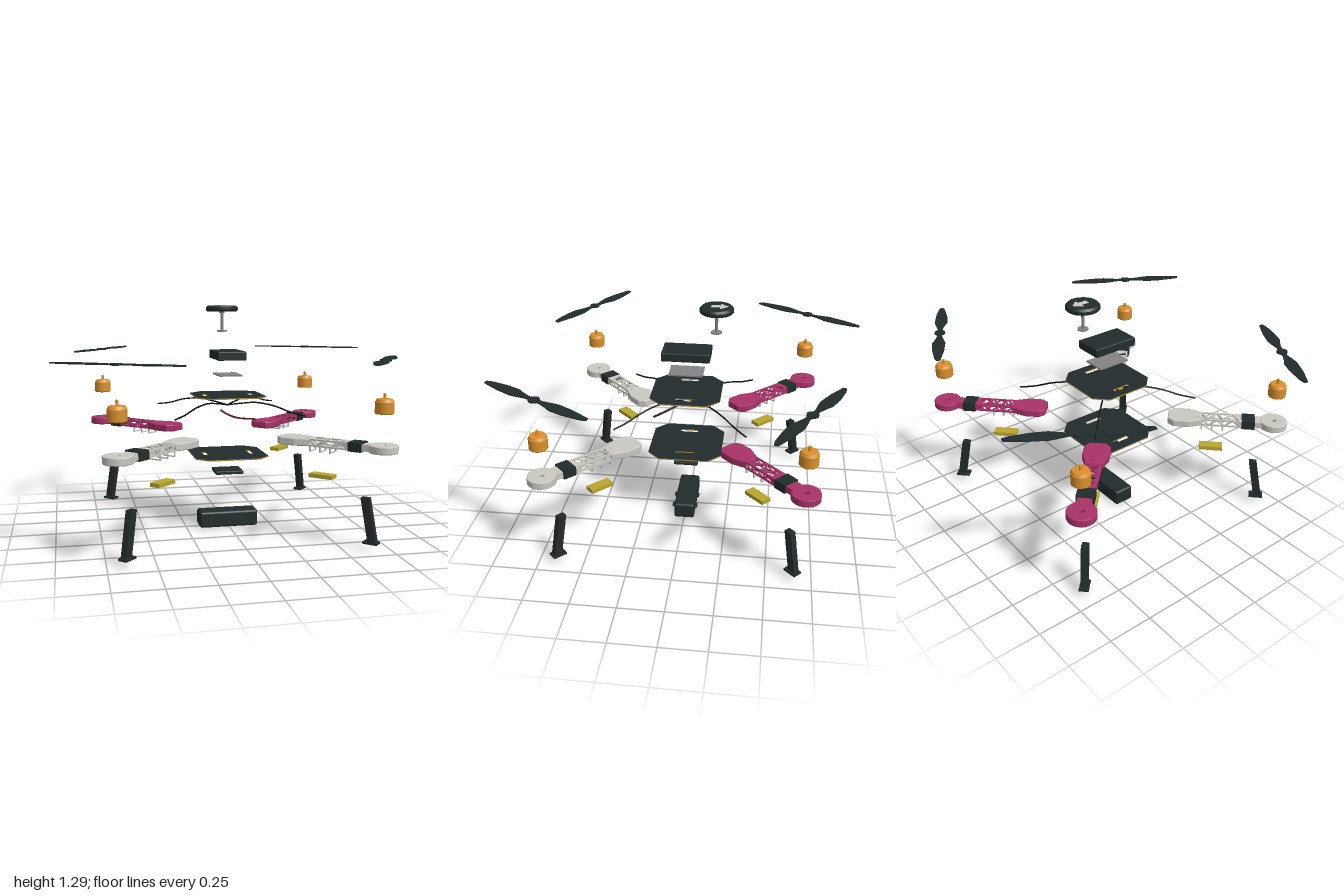
import * as THREE from 'three';
import { RoundedBoxGeometry } from 'three/addons/geometries/RoundedBoxGeometry.js';

const mat = (name, color, side = THREE.FrontSide) => {
  const m = new THREE.MeshStandardMaterial({ color, side });
  m.name = name;
  return m;
};

export function createModel() {
  const dark = mat('dark plastic', 0x222c2c);
  const light = mat('light grey plastic', 0xc9c8c1);
  const magenta = mat('magenta plastic', 0xa83268);
  const orange = mat('orange metal', 0xd98f2c);
  const yellow = mat('yellow', 0xb9a62e);
  const gold = mat('gold edge', 0xb08d45);
  const grey = mat('grey metal', 0x858386);
  const red = mat('dark red wire', 0x6a1c1c);
  const black = mat('black wire', 0x0e1212);

  const root = new THREE.Group();
  root.name = 'explodedQuadcopter';

  const add = (parent, name, geo, material, x = 0, y = 0, z = 0) => {
    const m = new THREE.Mesh(geo, material);
    m.name = name;
    m.position.set(x, y, z);
    parent.add(m);
    return m;
  };
  const box = (w, h, d) => new THREE.BoxGeometry(w, h, d);
  const poly = pts => new THREE.Shape(pts.map(p => new THREE.Vector2(p[0], p[1])));
  // Flat shape extruded upwards: shape y becomes -z
  const slab = (shape, h, bevel = 0) => {
    const g = new THREE.ExtrudeGeometry(shape, {
      depth: h - 2 * bevel, curveSegments: 20, bevelEnabled: bevel > 0,
      bevelSize: bevel, bevelThickness: bevel, bevelOffset: -bevel, bevelSegments: 2
    });
    g.translate(0, 0, bevel);
    return g.rotateX(-Math.PI / 2);
  };
  const lathe = (pts, n = 32) => new THREE.LatheGeometry(pts.map(p => new THREE.Vector2(p[0], p[1])), n);
  const wire = (pts, r) => new THREE.TubeGeometry(
    new THREE.CatmullRomCurve3(pts.map(p => new THREE.Vector3(...p))), 32, r, 6);
  const circleHole = (x, y, r) => new THREE.Path().absarc(x, y, r, 0, Math.PI * 2, true);

  // ---- Truss panel: strip with alternating triangular holes ----
  const trussShape = half => {
    const s = poly([[0.5, -half], [0.81, -half], [0.81, half], [0.5, half]]);
    const v = half - 0.009;
    for (let i = 0; i < 5; i++) {
      const c = 0.555 + i * 0.045, e = i % 2 ? v : -v;
      s.holes.push(poly([[c - 0.034, e], [c + 0.034, e], [c, -e]]));
    }
    return s;
  };

  // ---- Arm, running outwards along local x ----
  const buildArm = (parent, material) => {
    const arm = new THREE.Group();
    arm.name = 'arm';
    arm.position.y = 0.533;
    parent.add(arm);
    const H = 0.042;
    const pad = poly([[0.362, -0.045], [0.395, -0.074], [0.48, -0.074], [0.56, -0.044],
      [0.56, 0.044], [0.48, 0.074], [0.395, 0.074], [0.362, 0.045]]);
    pad.holes.push(poly([[0.53, -0.018], [0.53, 0.018], [0.558, 0]]));
    add(arm, 'armRoot', slab(pad, H, 0.006), material);
    const mount = new THREE.Shape().absarc(0.969, 0, 0.078, 0, Math.PI * 2, false);
    mount.holes.push(circleHole(0.969, 0, 0.014));
    add(arm, 'motorMount', slab(mount, H, 0.005), material);
    add(arm, 'armNeck', box(0.12, H - 0.006, 0.076), material, 0.85, H / 2, 0);
    const flat = slab(trussShape(0.042), 0.008);
    add(arm, 'trussTop', flat, material, 0, H - 0.008, 0);
    add(arm, 'trussBottom', flat, material);
    const side = new THREE.ExtrudeGeometry(trussShape(0.021), { depth: 0.008, bevelEnabled: false });
    for (const z of [-0.042, 0.034]) add(arm, 'trussSide', side, material, 0, H / 2, z);
    add(arm, 'armBand', box(0.075, 0.05, 0.094), dark, 0.825, H / 2, 0);
    // Cradle hoops under the arm
    for (const u of [0.56, 0.62, 0.68]) {
      for (const v of [-0.034, 0.034]) add(arm, 'cradleLeg', box(0.008, 0.04, 0.006), light, u, -0.008, v);
      add(arm, 'cradleBar', box(0.008, 0.006, 0.074), light, u, -0.027, 0);
    }
  };

  // ---- Leg: leaning hollow-looking column with a foot ----
  const buildLeg = parent => {
    const leg = new THREE.Group();
    leg.name = 'landingLeg';
    parent.add(leg);
    const g = box(0.045, 0.24, 0.036);
    const p = g.attributes.position;
    for (let i = 0; i < p.count; i++) p.setX(i, p.getX(i) - p.getY(i) * 0.19);
    g.computeVertexNormals();
    add(leg, 'legColumn', g, dark, 0.9, 0.163, 0);
    add(leg, 'legFoot', box(0.08, 0.012, 0.052), dark, 0.915, 0.041, 0);
    for (const v of [-0.019, 0.019]) {
      const rib = add(leg, 'legRib', box(0.012, 0.235, 0.006), dark, 0.9, 0.163, v);
      rib.rotation.z = 0.19;
    }
  };

  // ---- Motor ----
  const motorBody = lathe([[0, 0.738], [0.046, 0.738], [0.05, 0.742], [0.05, 0.742], [0.05, 0.8],
    [0.05, 0.8], [0.041, 0.816], [0.041, 0.816], [0.011, 0.818], [0.008, 0.818],
    [0.008, 0.843], [0.008, 0.843], [0, 0.847]]);

  // ---- Propeller blade outline, mirrored by half a turn ----
  const bladePts = [[0, -0.014], [0.05, -0.013], [0.1, -0.024], [0.14, -0.037], [0.22, -0.035],
    [0.325, -0.018], [0.357, -0.005], [0.352, 0.015], [0.24, 0.031], [0.14, 0.035], [0.1, 0.026], [0.05, 0.013], [0, 0.014]];
  const blade = slab(poly(bladePts), 0.006);
  const hub = new THREE.CylinderGeometry(0.03, 0.03, 0.01, 24);

  for (const sx of [-1, 1]) for (const sz of [-1, 1]) {
    const corner = new THREE.Group();
    corner.name = (sz > 0 ? 'front' : 'back') + (sx > 0 ? 'Left' : 'Right') + 'Corner';
    corner.rotation.y = -Math.atan2(sz, sx);
    root.add(corner);
    buildArm(corner, sz > 0 ? light : magenta);
    buildLeg(corner);
    add(corner, 'speedController', box(0.138, 0.022, 0.06), yellow, 0.621, 0.37, 0);
    add(corner, 'motor', motorBody, orange, 0.969, 0, 0);
    add(corner, 'antennaWire', wire([[0, 0.718, 0], [0.09, 0.733, 0], [0.2, 0.745, 0],
      [0.32, 0.732, 0], [0.42, 0.705, 0], [0.515, 0.69, 0]], 0.0045), black);

    const prop = new THREE.Group();
    prop.name = 'propeller';
    prop.position.set(sx * 0.685, 1.012, sz * 0.685);
    prop.rotation.y = sx * sz > 0 ? Math.PI / 3 : -Math.PI / 6;
    if (sx * sz < 0) prop.rotation.y = -Math.atan2(0.175, 0.31);
    root.add(prop);
    for (const a of [0, Math.PI]) add(prop, 'blade', blade, dark).rotation.y = a;
    add(prop, 'propellerHub', hub, dark, 0, 0.003, 0);
  }

  // ---- Frame plates: dark faces, gold cut edges ----
  const plate = (name, r, y) => {
    const c = r - 0.07;
    const s = poly([[-c, -r], [c, -r], [r, -c], [r, c], [c, r], [-c, r], [-r, c], [-r, -c]]);
    for (const x of [-0.135, 0.135]) {
      s.holes.push(poly([[x - 0.013, -0.052], [x + 0.013, -0.052], [x + 0.013, 0.052], [x - 0.013, 0.052]]));
    }
    add(root, name, slab(s, 0.007), [dark, gold], 0, y, 0);
  };
  plate('topPlate', 0.2, 0.772);
  plate('bottomPlate', 0.212, 0.427);

  // ---- Power lead ----
  const lead = [[-0.05, 0.692, 0.035], [-0.015, 0.67, 0.06], [0.03, 0.656, 0.11], [0.125, 0.655, 0.185]];
  add(root, 'powerLeadRed', wire(lead, 0.004), red);
  add(root, 'powerLeadBlack', wire(lead.map(p => [p[0] + 0.006, p[1], p[2] - 0.006]), 0.004), black);

  // ---- Stacked electronics ----
  add(root, 'powerModule', new RoundedBoxGeometry(0.162, 0.02, 0.142, 2, 0.005), dark, 0, 0.327, 0);
  add(root, 'mountingPad', box(0.134, 0.008, 0.195), grey, 0, 0.896, 0.003);
  add(root, 'flightController', new RoundedBoxGeometry(0.165, 0.05, 0.274, 2, 0.006), dark, 0, 1.01, 0.002);

  // ---- Battery ----
  add(root, 'battery', new RoundedBoxGeometry(0.346, 0.094, 0.12, 3, 0.014), dark, -0.002, 0.047, 0);
  for (const x of [0, 0.11]) add(root, 'batteryTab', box(0.035, 0.007, 0.15), dark, x, 0.055, 0);

  // ---- Position sensor on its mast ----
  const gps = new THREE.Group();
  gps.name = 'positionSensor';
  gps.position.z = -0.163;
  root.add(gps);
  add(gps, 'sensorDisc', lathe([[0, 1.258], [0.088, 1.258], [0.088, 1.258], [0.095, 1.265], [0.095, 1.265],
    [0.095, 1.28], [0.095, 1.28], [0.084, 1.292], [0.084, 1.292], [0, 1.292]], 40), dark);
  add(gps, 'mast', new THREE.CylinderGeometry(0.009, 0.009, 0.12, 16), grey, 0, 1.2, 0);
  add(gps, 'mastCollar', new THREE.CylinderGeometry(0.018, 0.014, 0.012, 16), grey, 0, 1.253, 0);
  add(gps, 'mastBase', new THREE.CylinderGeometry(0.03, 0.03, 0.008, 24), grey, 0, 1.142, 0);
  const arrow = poly([[-0.016, -0.03], [0.016, -0.03], [0.016, 0.02], [0.04, 0.02], [0, 0.066],
    [-0.04, 0.02], [-0.016, 0.02]]);
  add(gps, 'headingArrow', slab(arrow, 0.003), light, 0, 1.2915, 0);

  return root;
}
